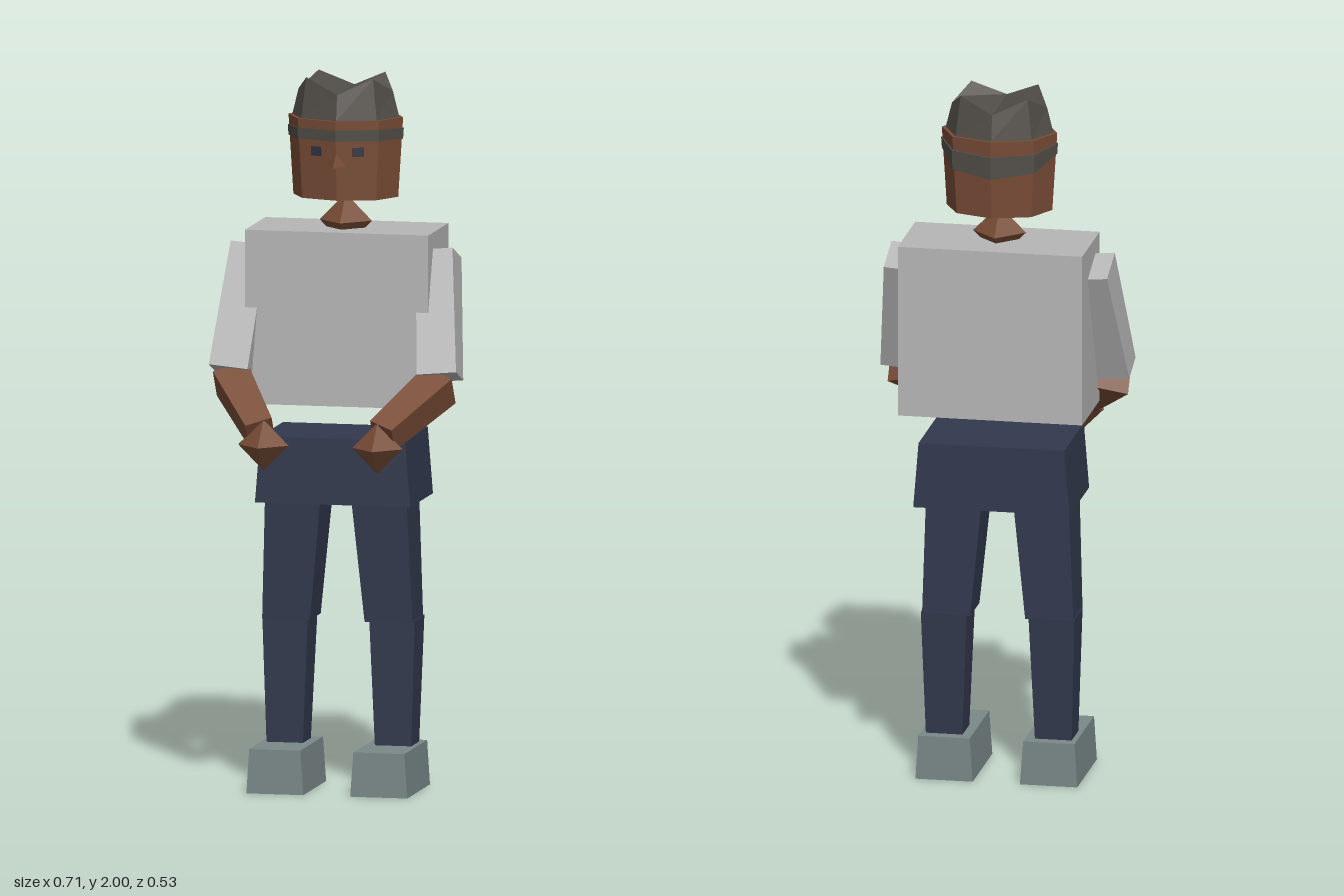
import * as THREE from 'three';

const mat = (name, color) => {
  const m = new THREE.MeshStandardMaterial({ color, flatShading: true });
  m.name = name;
  return m;
};
const V = (x, y, z) => new THREE.Vector3(x, y, z);

// Closed solid through rings ordered bottom to top; caps fan from the first corner
function loft(rings) {
  const pos = [];
  const tri = (...pts) => pts.forEach((p) => pos.push(p.x, p.y, p.z));
  const n = rings[0].length;
  for (let k = 0; k < rings.length - 1; k++) {
    const lo = rings[k], hi = rings[k + 1];
    for (let i = 0; i < n; i++) {
      const j = (i + 1) % n;
      tri(lo[i], lo[j], hi[j]);
      tri(lo[i], hi[j], hi[i]);
    }
  }
  const bottom = rings[0], top = rings[rings.length - 1];
  for (let i = 1; i < n - 1; i++) {
    tri(bottom[0], bottom[i + 1], bottom[i]);
    tri(top[0], top[i], top[i + 1]);
  }
  const g = new THREE.BufferGeometry();
  g.setAttribute('position', new THREE.Float32BufferAttribute(pos, 3));
  g.computeVertexNormals();
  return g;
}

// Level rectangle spanning x0..x1 and z0..z1
const rect = (y, x0, x1, z0, z1) =>
  [V(x0, y, z1), V(x1, y, z1), V(x1, y, z0), V(x0, y, z0)];

// Head ring: eight corners, first at the front; y may vary per corner
const HEAD_Z = -0.125;
const ring8 = (y, r, rz = r * 0.8) => Array.from({ length: 8 }, (_, i) => {
  const a = (i * Math.PI) / 4;
  return V(Math.sin(a) * r, typeof y === 'number' ? y : y[i], HEAD_Z + Math.cos(a) * rz);
});

// Tapered limb with ends square to its axis
function limb(top, bottom, [w0, d0], [w1, d1]) {
  const up = top.clone().sub(bottom).normalize();
  const side = V(1, 0, 0).addScaledVector(up, -up.x).normalize();
  const front = side.clone().cross(up);
  const end = (c, w, d) => [[-1, 1], [1, 1], [1, -1], [-1, -1]].map(([a, b]) =>
    c.clone().addScaledVector(side, (a * w) / 2).addScaledVector(front, (b * d) / 2));
  return loft([end(bottom, w1, d1), end(top, w0, d0)]);
}

export function createModel() {
  const model = new THREE.Group();
  model.name = 'figure';
  const skin = mat('skin', 0x794c36);
  const hair = mat('hair', 0x524e48);
  const shirt = mat('shirt', 0xb6b6b6);
  const trousers = mat('trousers', 0x32394e);
  const shoe = mat('shoe', 0x7a8888);
  const eye = mat('eye', 0x2c3340);

  const add = (name, geometry, material) => {
    const m = new THREE.Mesh(geometry, material);
    m.name = name;
    model.add(m);
    return m;
  };

  // Trunk
  add('torso', loft([rect(1.08, -0.262, 0.262, -0.265, -0.01), rect(1.57, -0.262, 0.262, -0.265, -0.01)]), shirt);
  add('pelvis', loft([rect(0.81, -0.222, 0.222, -0.245, 0.042), rect(0.997, -0.207, 0.207, -0.245, 0.042)]), trousers);
  add('neck', new THREE.OctahedronGeometry(0.075), skin).position.set(0, 1.59, HEAD_Z);

  // Head, hair cap with raised points, and lower hair strip that drops at the back
  add('head', loft([ring8(1.66, 0.15, 0.116), ring8(1.885, 0.164, 0.131)]), skin);
  const crown = [0, 1, 2, 3, 4, 5, 6, 7].map((i) => (i % 2 ? 2.0 : 1.957));
  add('hairCap', loft([ring8(1.885, 0.153, 0.122), ring8(crown, 0.135, 0.11)]), hair);
  const stripLow = [1.828, 1.828, 1.825, 1.79, 1.776, 1.79, 1.825, 1.828];
  const stripHigh = [1.86, 1.86, 1.855, 1.845, 1.84, 1.845, 1.855, 1.86];
  add('hairStrip', loft([ring8(stripLow, 0.164, 0.131), ring8(stripHigh, 0.166, 0.133)]), hair);

  // Nose: small wedge pointing forward
  add('nose', loft([
    [V(0, 1.757, 0.037), V(0.027, 1.757, -0.012), V(-0.027, 1.757, -0.012)],
    [V(0, 1.802, 0.001), V(0.002, 1.802, -0.01), V(-0.002, 1.802, -0.01)],
  ]), skin);

  for (const s of [1, -1]) {
    const side = s > 0 ? 'left' : 'right';
    // Rectangle mirrored to the given side
    const half = (y, a, b, z0, z1) => rect(y, Math.min(s * a, s * b), Math.max(s * a, s * b), z0, z1);

    // Eye plate lying on the slanted face
    const e = add(side + 'Eye', new THREE.BoxGeometry(0.032, 0.026, 0.008), eye);
    e.position.set(s * 0.06, 1.797, -0.0195);
    e.rotation.y = s * 0.32;

    // Arm
    add(side + 'Sleeve', limb(V(s * 0.265, 1.503, -0.127), V(s * 0.298, 1.173, 0),
      [0.105, 0.122], [0.112, 0.098]), shirt);
    add(side + 'Forearm', limb(V(s * 0.298, 1.152, 0), V(s * 0.175, 1.03, 0.183),
      [0.1, 0.09], [0.078, 0.076]), skin);
    add(side + 'Hand', new THREE.OctahedronGeometry(0.072), skin).position.set(s * 0.163, 0.995, 0.194);

    // Leg
    add(side + 'Thigh', loft([half(0.475, 0.078, 0.215, -0.152, -0.018), half(0.812, 0.045, 0.203, -0.157, 0)]), trousers);
    add(side + 'Shin', loft([half(0.12, 0.103, 0.207, -0.137, -0.038), half(0.48, 0.088, 0.218, -0.155, -0.033)]), trousers);
    add(side + 'Shoe', loft([half(0, 0.067, 0.23, -0.172, 0.114), half(0.125, 0.076, 0.222, -0.172, 0.114)]), shoe);
  }
  return model;
}
